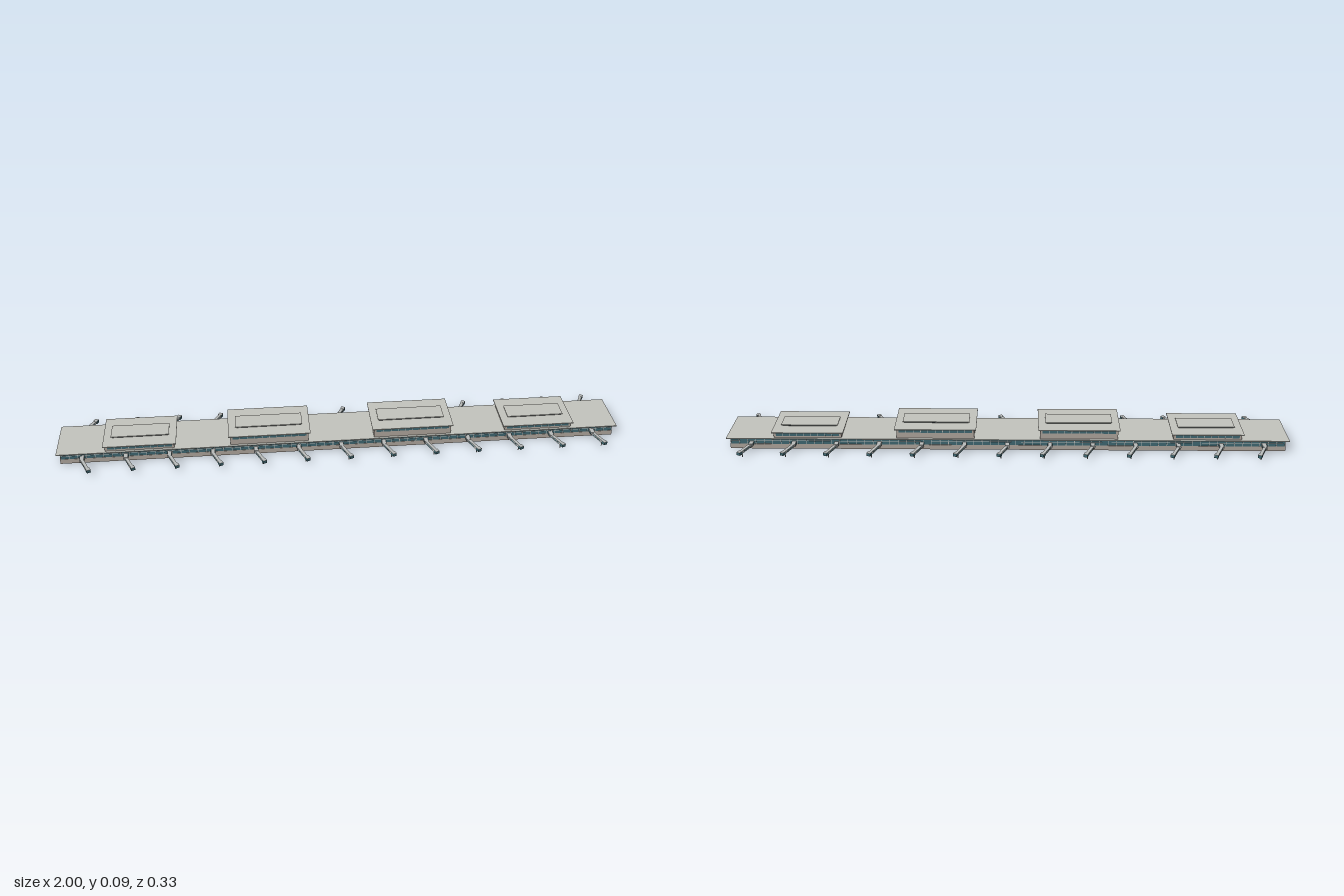
import * as THREE from 'three';

const mat = (color) => new THREE.MeshStandardMaterial({ color });
const M = {
  roof: mat(0xc4c5be), wall: mat(0xb0a79e), glass: mat(0x3f6872),
  dark: mat(0x23282b), metal: mat(0xb9bcbb),
};

// Box spanning y0..y1, centred on x and z
function slab(parent, name, material, w, d, y0, y1, x = 0, z = 0) {
  const m = new THREE.Mesh(new THREE.BoxGeometry(w, y1 - y0, d), material);
  m.position.set(x, (y0 + y1) / 2, z);
  m.name = name;
  parent.add(m);
  return m;
}

// Box beam running from a to b
function beam(parent, name, material, a, b, w, h) {
  const m = new THREE.Mesh(new THREE.BoxGeometry(w, h, a.distanceTo(b)), material);
  m.position.copy(a).lerp(b, 0.5);
  m.lookAt(b);
  m.name = name;
  parent.add(m);
  return m;
}

// Upper hall with a clerestory, overhanging roof and raised skylight
function upperHall(x, w, top) {
  const g = new THREE.Group();
  g.name = 'upperHall';
  g.position.x = x;
  slab(g, 'hallWall', M.wall, w - 0.014, 0.162, 0.046, top);
  for (const s of [-1, 1]) {
    slab(g, 'hallWindow', M.glass, w - 0.03, 0.002, top - 0.013, top - 0.003, 0, s * 0.081);
    const n = Math.round(w / 0.03);
    for (let i = 1; i < n; i++) {
      const mx = -(w - 0.03) / 2 + ((w - 0.03) * i) / n;
      slab(g, 'hallMullion', M.metal, 0.002, 0.002, top - 0.013, top - 0.003, mx, s * 0.0818);
    }
  }
  slab(g, 'hallRoof', M.roof, w, 0.18, top, top + 0.003);
  slab(g, 'skylightGlass', M.dark, w - 0.06, 0.066, top + 0.003, top + 0.0065);
  slab(g, 'skylightCap', M.roof, w - 0.052, 0.072, top + 0.0065, top + 0.0085);
  return g;
}

// Boarding bridge: fixed link, sloping angled tunnel, cab and support leg
function boardingBridge(x, s) {
  const g = new THREE.Group();
  g.name = 'boardingBridge';
  g.position.x = x;
  const P = (px, py, pz) => new THREE.Vector3(px, py, pz * s);
  slab(g, 'fixedLink', M.metal, 0.015, 0.028, 0.018, 0.029, 0, s * 0.088);
  for (const e of [-1, 1])
    slab(g, 'linkWindow', M.glass, 0.001, 0.017, 0.022, 0.026, e * 0.0077, s * 0.091);
  const a = P(0, 0.0238, 0.097), b = P(0.024, 0.0198, 0.149);
  beam(g, 'tunnel', M.metal, a, b, 0.011, 0.0095);
  beam(g, 'tunnelWindow', M.glass, a.clone().lerp(b, 0.15), a.clone().lerp(b, 0.8), 0.0115, 0.003);
  const cab = slab(g, 'cab', M.glass, 0.014, 0.014, 0.014, 0.0245, 0.027, s * 0.154);
  cab.rotation.y = s * 0.43;
  const cabRoof = slab(g, 'cabRoof', M.metal, 0.0145, 0.0145, 0.0245, 0.0255, 0.027, s * 0.154);
  cabRoof.rotation.y = s * 0.43;
  const leg = new THREE.Mesh(new THREE.CylinderGeometry(0.0018, 0.0018, 0.016, 8), M.metal);
  leg.name = 'supportLeg';
  leg.position.set(0.021, 0.008, s * 0.143);
  g.add(leg);
  return g;
}

export function createModel() {
  const root = new THREE.Group();
  root.name = 'terminal';

  // Main concourse
  slab(root, 'base', M.wall, 1.98, 0.154, 0, 0.018);
  slab(root, 'glazing', M.glass, 1.976, 0.152, 0.018, 0.043);
  slab(root, 'mainRoof', M.roof, 2, 0.18, 0.043, 0.046);

  // Facade mullions
  const n = 66;
  for (const s of [-1, 1]) {
    for (let i = 0; i <= n; i++)
      slab(root, 'mullion', M.metal, 0.002, 0.002, 0.018, 0.043, -0.987 + (1.974 * i) / n, s * 0.0762);
    slab(root, 'transom', M.metal, 1.976, 0.0015, 0.03, 0.0313, 0, s * 0.0762);
  }

  // Upper halls, mirrored about the middle
  for (const s of [-1, 1]) {
    root.add(upperHall(s * 0.71, 0.255, 0.066));
    root.add(upperHall(s * 0.255, 0.29, 0.081));
  }

  // Boarding bridges along both sides
  for (let i = 0; i < 13; i++)
    for (const s of [-1, 1]) root.add(boardingBridge(-0.912 + i * 0.152, s));

  return root;
}
